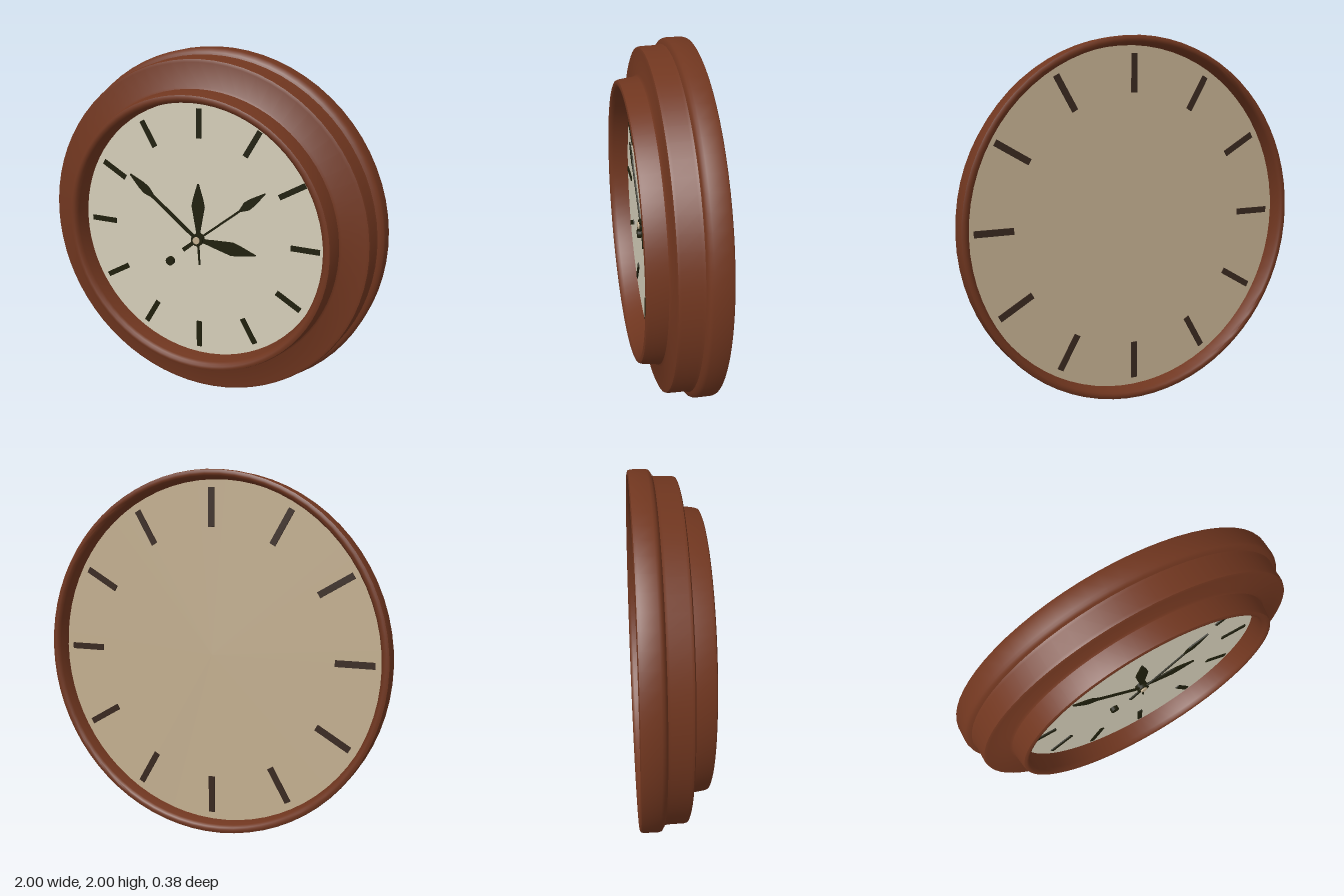
import * as THREE from 'three';
import { toCreasedNormals } from 'three/addons/utils/BufferGeometryUtils.js';

const mat = (name, color) => {
  const m = new THREE.MeshStandardMaterial({ color });
  m.name = name;
  return m;
};

export function createModel() {
  const wood = mat('reddish wood', 0x70361f);
  const cream = mat('cream dial', 0xd4cdb8);
  const tan = mat('tan backing', 0xc2ae8f);
  const dark = mat('dark hands', 0x1f1f0c);
  const brown = mat('dark brown', 0x38281f);

  const clock = new THREE.Group();
  clock.name = 'wallClock';
  clock.position.y = 1;

  const add = (name, geometry, material, parent = clock) => {
    const mesh = new THREE.Mesh(geometry, material);
    mesh.name = name;
    parent.add(mesh);
    return mesh;
  };

  // Stepped frame: (radius, z) from the back recess over the rim to the dial opening
  const profile = [
    [0.95, -0.09], [0.955, -0.17], [0.965, -0.186], [0.975, -0.19],
    [0.985, -0.19], [0.996, -0.185], [1, -0.172], [1, -0.09], [0.995, -0.075],
    [0.98, -0.065], [0.967, -0.06], [0.962, -0.045], [0.96, 0.05], [0.955, 0.064], [0.94, 0.07],
    [0.815, 0.07], [0.803, 0.08], [0.79, 0.172], [0.785, 0.185], [0.773, 0.19],
    [0.76, 0.188], [0.748, 0.178], [0.742, 0.16], [0.738, 0.06],
  ].map(([r, z]) => new THREE.Vector2(r, z));
  const frame = new THREE.LatheGeometry(profile, 72).rotateX(Math.PI / 2);
  add('frame', toCreasedNormals(frame, 0.7), wood);

  // Dial in front and backing panel behind
  add('dial', new THREE.CircleGeometry(0.745, 72), cream).position.z = 0.07;
  const back = add('backPanel', new THREE.CircleGeometry(0.957, 72), tan);
  back.rotation.y = Math.PI;
  back.position.z = -0.1;

  // Twelve hour marks on each side
  const marks = (name, inner, outer, width, z, material) => {
    const group = new THREE.Group();
    group.name = name;
    clock.add(group);
    for (let i = 0; i < 12; i++) {
      const bar = new THREE.BoxGeometry(width, outer - inner, 0.008);
      bar.translate(0, (inner + outer) / 2, z).rotateZ((-i * Math.PI) / 6);
      add('hourMark', bar, material, group);
    }
  };
  marks('frontHourMarks', 0.54, 0.7, 0.03, 0.073, dark);
  marks('backHourMarks', 0.7, 0.91, 0.035, -0.103, brown);

  // Hands: outlines given as (distance along the hand, half width)
  const hands = new THREE.Group();
  hands.name = 'hands';
  hands.position.set(0, -0.03, 0.08);
  clock.add(hands);
  const hand = (name, tipX, tipY, outline, z) => {
    const side = outline.map(([d, w]) => new THREE.Vector2(w, d));
    const other = outline.map(([d, w]) => new THREE.Vector2(-w, d)).reverse();
    const shape = new THREE.Shape([...side, ...other]);
    const geometry = new THREE.ExtrudeGeometry(shape, { depth: 0.008, bevelEnabled: false });
    const mesh = add(name, geometry, dark, hands);
    mesh.rotation.z = Math.atan2(-tipX, tipY);
    mesh.position.z = z;
  };
  const blade = (len) => [[0, 0.013], [0.05, 0.013], [0.1, 0.022], [len * 0.6, 0.039], [len * 0.75, 0.028], [len, 0.003]];
  const spade = (len, tail, w) => [[tail, w], [len - 0.18, w], [len - 0.13, 0.025], [len - 0.09, 0.022], [len, 0.003]];
  hand('alarmHand', 0, 0.32, blade(0.32), 0);
  hand('hourHand', 0.35, -0.04, blade(0.35), 0.006);
  hand('minuteHand', -0.42, 0.33, spade(0.535, 0, 0.01), 0.012);
  hand('secondHand', 0.4, 0.32, spade(0.51, 0, 0.006), 0.018);
  hand('secondHandTail', -0.085, -0.07, [[0, 0.01], [0.11, 0.012]], 0.018);
  hand('alarmHandTail', 0.01, -0.15, [[0, 0.006], [0.15, 0.004]], 0.004);

  // Hub with a pale pin
  const disc = (r, h) => new THREE.CylinderGeometry(r, r, h, 24).rotateX(Math.PI / 2);
  add('hub', disc(0.035, 0.035), dark, hands).position.z = 0.009;
  add('hubPin', disc(0.02, 0.05), tan, hands).position.z = 0.01;

  // Small setting knob at the lower left of the dial
  add('knob', disc(0.025, 0.025), dark).position.set(-0.18, -0.19, 0.08);

  return clock;
}
